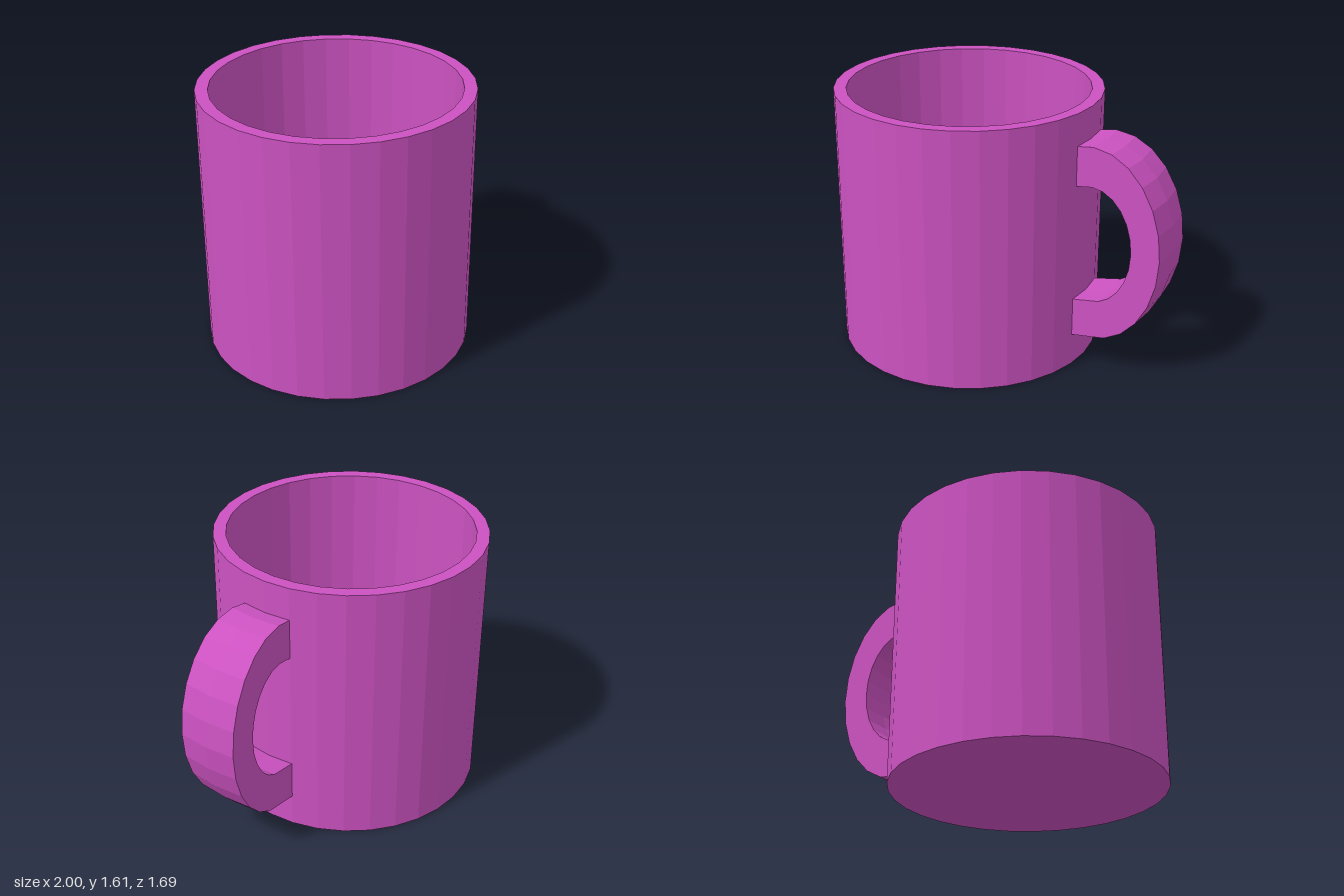
import * as THREE from 'three';

const R = 0.8, WALL = 0.075, HEIGHT = 1.605, FLOOR = 0.08, SIDES = 32;

// split shared corners so every facet keeps its own normal
function faceted(geometry) {
  const g = geometry.toNonIndexed();
  g.computeVertexNormals();
  return g;
}

// hollow cup: one profile turned around the axis
function cupGeometry() {
  const ri = R - WALL;
  const profile = [[0, 0], [R, 0], [R, HEIGHT], [ri, HEIGHT], [ri, FLOOR], [0, FLOOR]]
    .map(([x, y]) => new THREE.Vector2(x, y));
  return faceted(new THREE.LatheGeometry(profile, SIDES));
}

// handle: two wall facets wide, widening outwards, swept along a half ellipse
function handleGeometry() {
  const angle = THREE.MathUtils.degToRad(33.75);
  const out = new THREE.Vector3(Math.cos(angle), 0, -Math.sin(angle));
  const side = new THREE.Vector3(Math.sin(angle), 0, Math.cos(angle));
  const REACH = 0.535, START = 0.1, CY = 0.823, STEPS = 12;

  // [distance from wall, y] for the outer and inner edge of each section
  const sections = [[[0, 1.41], [0, 1.168]]];
  for (let i = 0; i <= STEPS; i++) {
    const t = Math.PI * i / STEPS;
    const at = (a, b) => [START + a * Math.sin(t), CY + b * Math.cos(t)];
    sections.push([at(REACH - START, 0.602), at(0.258, 0.361)]);
  }
  sections.push([[0, 0.203], [0, 0.443]]);

  const positions = [], index = [];
  const addPoint = ([s, y], k) => {
    const radius = 0.785 + s + (k === 0 ? 0.015 : 0);
    const half = 0.156 + 0.027 * s / REACH;
    const p = out.clone().multiplyScalar(radius).addScaledVector(side, k * half);
    positions.push(p.x, y, p.z);
  };
  for (const [outer, inner] of sections) {
    for (const k of [-1, 0, 1]) addPoint(outer, k);
    for (const k of [1, 0, -1]) addPoint(inner, k);
  }
  for (let i = 0; i < sections.length - 1; i++) {
    for (let j = 0; j < 6; j++) {
      const a = i * 6 + j, b = i * 6 + (j + 1) % 6;
      index.push(a, b, a + 6, b, b + 6, a + 6);
    }
  }
  const g = new THREE.BufferGeometry();
  g.setAttribute('position', new THREE.Float32BufferAttribute(positions, 3));
  g.setIndex(index);
  return faceted(g);
}

export function createModel() {
  const glaze = new THREE.MeshStandardMaterial({ color: 0xcc52c1, flatShading: true });
  glaze.name = 'orchid glaze';

  const mug = new THREE.Group();
  mug.name = 'mug';
  const cup = new THREE.Mesh(cupGeometry(), glaze);
  cup.name = 'cup';
  const handle = new THREE.Mesh(handleGeometry(), glaze);
  handle.name = 'handle';
  mug.add(cup, handle);
  mug.position.set(-0.2, 0, 0.04);

  const model = new THREE.Group();
  model.add(mug);
  return model;
}
